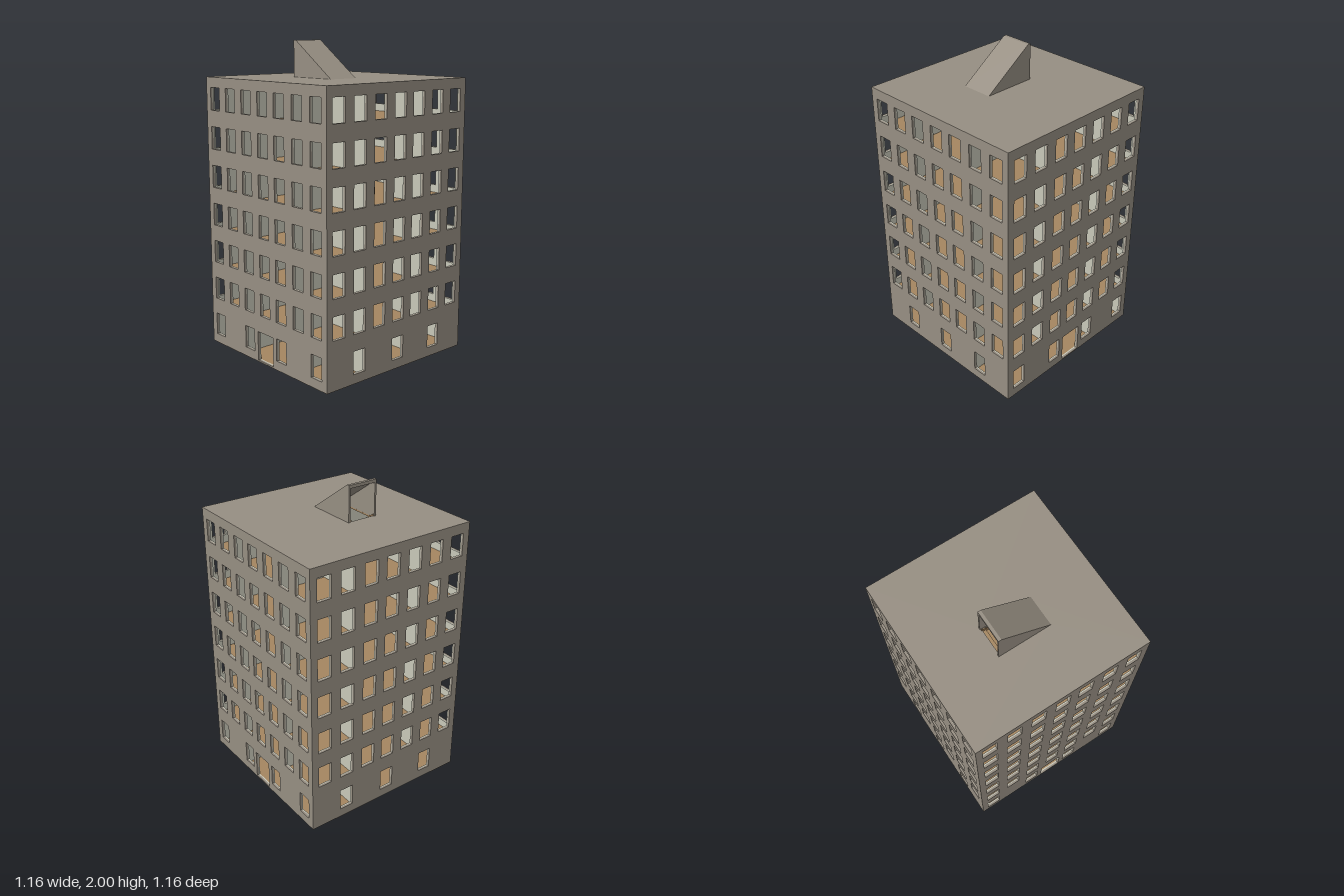
import * as THREE from 'three';

const HALF = 0.58, STOREYS = 7, PITCH = 0.25, FLOOR = 0.01;
const OUTER = 0.014, LINING = 0.008;
const WELL_X = 0.175, WELL_Z = 0.18;
const COLUMNS = [-0.488, -0.325, -0.1625, 0, 0.1575, 0.3225, 0.486];

function material(name, color) {
  const m = new THREE.MeshStandardMaterial({ color });
  m.name = name;
  return m;
}

function rectPath(x0, y0, x1, y1, Type = THREE.Path) {
  return new Type([[x0, y0], [x1, y0], [x1, y1], [x0, y1]].map(p => new THREE.Vector2(...p)));
}

function extrude(shape, depth) {
  return new THREE.ExtrudeGeometry(shape, { depth, bevelEnabled: false });
}

function add(parent, name, geometry, mat, x = 0, y = 0, z = 0) {
  const mesh = new THREE.Mesh(geometry, mat);
  mesh.name = name;
  mesh.position.set(x, y, z);
  parent.add(mesh);
  return mesh;
}

function box(parent, name, mat, w, h, d, x, y, z) {
  return add(parent, name, new THREE.BoxGeometry(w, h, d), mat, x, y, z);
}

// Wall panel with a grid of window openings; the ground storey differs by side
function wallShape(width, hasDoor) {
  const shape = rectPath(-width / 2, 0.002, width / 2, 1.76, THREE.Shape);
  const ground = hasDoor ? [0, 2, 4, 6] : [1, 3, 5];
  for (let k = 0; k < STOREYS; k++) {
    COLUMNS.forEach((x, i) => {
      if (k === 0 && !ground.includes(i)) return;
      const y = k * PITCH;
      shape.holes.push(rectPath(x - 0.0475, y + 0.06, x + 0.0475, y + 0.205));
    });
  }
  if (hasDoor) shape.holes.push(rectPath(-0.078, 0.0105, 0.075, 0.2));
  return shape;
}

// Slab with an optional stairwell opening on one side of the centre line
function slab(parent, name, mat, width, bottom, thickness, side) {
  const h = width / 2;
  const shape = rectPath(-h, -h, h, h, THREE.Shape);
  if (side) {
    const z = [0, -side * WELL_Z].sort((a, b) => a - b);
    shape.holes.push(rectPath(-WELL_X + 0.01, z[0], WELL_X - 0.01, z[1]));
  }
  const geometry = extrude(shape, thickness).rotateX(-Math.PI / 2);
  add(parent, name, geometry, mat, 0, bottom, 0);
}

// One straight flight with open treads; side +1 climbs towards -x
function flight(mat, side, y0) {
  const g = new THREE.Group();
  g.name = 'stairFlight';
  const run = 0.34, steps = 12;
  const profile = new THREE.Shape([
    [0.17, 0], [-0.17, PITCH], [-0.17, PITCH + 0.022], [-0.145, PITCH + 0.01], [0.17, 0.026]
  ].map(p => new THREE.Vector2(...p)));
  for (const z of [0.002, WELL_Z - 0.008]) {
    add(g, 'stringer', extrude(profile, 0.006), mat, 0, 0, z);
  }
  for (let i = 0; i < steps; i++) {
    const t = (i + 0.5) / steps;
    box(g, 'tread', mat, 0.028, 0.006, WELL_Z - 0.01, 0.17 - run * t, PITCH * t, WELL_Z / 2);
  }
  g.position.y = y0;
  if (side < 0) g.rotation.y = Math.PI;
  return g;
}

// Railing around the outer side and the far end of a stairwell
function railing(mat, side, y0) {
  const g = new THREE.Group();
  g.name = 'stairRailing';
  const zOut = WELL_Z + 0.005;
  for (const y of [0.045, 0.075]) {
    box(g, 'sideRail', mat, 0.345, 0.02, 0.006, 0, y, zOut);
    box(g, 'endRail', mat, 0.006, 0.02, zOut, 0.17, y, zOut / 2);
  }
  for (const [x, z] of [[-0.172, zOut], [0, zOut], [0.17, zOut], [0.17, 0]]) {
    box(g, 'post', mat, 0.008, 0.09, 0.008, x, 0.045, z);
  }
  g.position.y = y0;
  if (side < 0) g.rotation.y = Math.PI;
  return g;
}

// Wedge-shaped roof exit, open towards -x
function roofExit(mat) {
  const g = new THREE.Group();
  g.name = 'roofExit';
  const z0 = -0.015, z1 = 0.19, t = 0.012, y = 1.77;
  const side = new THREE.Shape([[-0.175, 0], [0.175, 0], [-0.155, 0.23], [-0.175, 0.23]]
    .map(p => new THREE.Vector2(...p)));
  add(g, 'exitSideWall', extrude(side, t), mat, 0, y, z0);
  add(g, 'exitSideWall', extrude(side, t), mat, 0, y, z1 - t);
  const cover = new THREE.Shape([
    [0.175, 0], [-0.155, 0.23], [-0.175, 0.23], [-0.175, 0.21], [-0.157, 0.21], [0.145, 0]
  ].map(p => new THREE.Vector2(...p)));
  add(g, 'exitSlopedRoof', extrude(cover, z1 - z0 - 2 * t), mat, 0, y, z0 + t);
  return g;
}

export function createModel() {
  const concrete = material('concrete grey', 0x968e82);
  const plaster = material('pale plaster', 0xc8c8b9);
  const wood = material('warm wood', 0xa58660);

  const model = new THREE.Group();
  model.name = 'apartmentBlock';

  // Four facades, each an outer skin with a plaster lining behind it
  for (let i = 0; i < 4; i++) {
    const hasDoor = i % 2 === 0;
    const wall = new THREE.Group();
    wall.name = ['frontWall', 'leftWall', 'backWall', 'rightWall'][i];
    const cut = hasDoor ? 0 : 1;
    const skinWidth = 2 * (HALF - cut * OUTER);
    const liningWidth = 2 * (HALF - OUTER - cut * LINING);
    const skin = extrude(wallShape(skinWidth, hasDoor), OUTER);
    const lining = extrude(wallShape(liningWidth, hasDoor), LINING);
    // Opposite walls turn about y, so mirror their openings to keep them aligned
    const inner = HALF - OUTER;
    if (i < 2) {
      add(wall, 'outerSkin', skin, concrete, 0, 0, inner);
      add(wall, 'innerLining', lining, plaster, 0, 0, inner - LINING);
    } else {
      add(wall, 'outerSkin', skin, concrete, 0, 0, -HALF);
      add(wall, 'innerLining', lining, plaster, 0, 0, -inner);
    }
    if (!hasDoor) wall.rotation.y = Math.PI / 2;
    model.add(wall);
  }

  // Corner flats closed off from the cross-shaped hall
  const wallAt = 0.24, end = HALF - OUTER - LINING, thick = 0.014;
  const from = wallAt - thick / 2, length = end - from, mid = (end + from) / 2;
  for (const sx of [-1, 1]) for (const sz of [-1, 1]) {
    box(model, 'partition', plaster, thick, 1.742, length, sx * wallAt, 0.88, sz * mid);
    box(model, 'partition', plaster, length - thick, 1.742, thick,
      sx * (mid + thick / 2), 0.88, sz * wallAt);
  }

  // Floors, stairs and railings
  slab(model, 'groundFloor', wood, 1.158, 0, FLOOR, 0);
  for (let k = 0; k < STOREYS; k++) {
    const side = k % 2 ? -1 : 1;
    const y = FLOOR + k * PITCH;
    model.add(flight(wood, side, y));
    const top = k === STOREYS - 1;
    slab(model, top ? 'ceiling' : 'floor', wood, 2 * end, y + PITCH - 0.01, top ? 0.0098 : 0.01, side);
    if (!top) model.add(railing(wood, side, y + PITCH));
  }

  // Roof and its exit
  slab(model, 'roof', concrete, 2 * HALF, 1.76, 0.01, 1);
  model.add(roofExit(concrete));
  return model;
}
